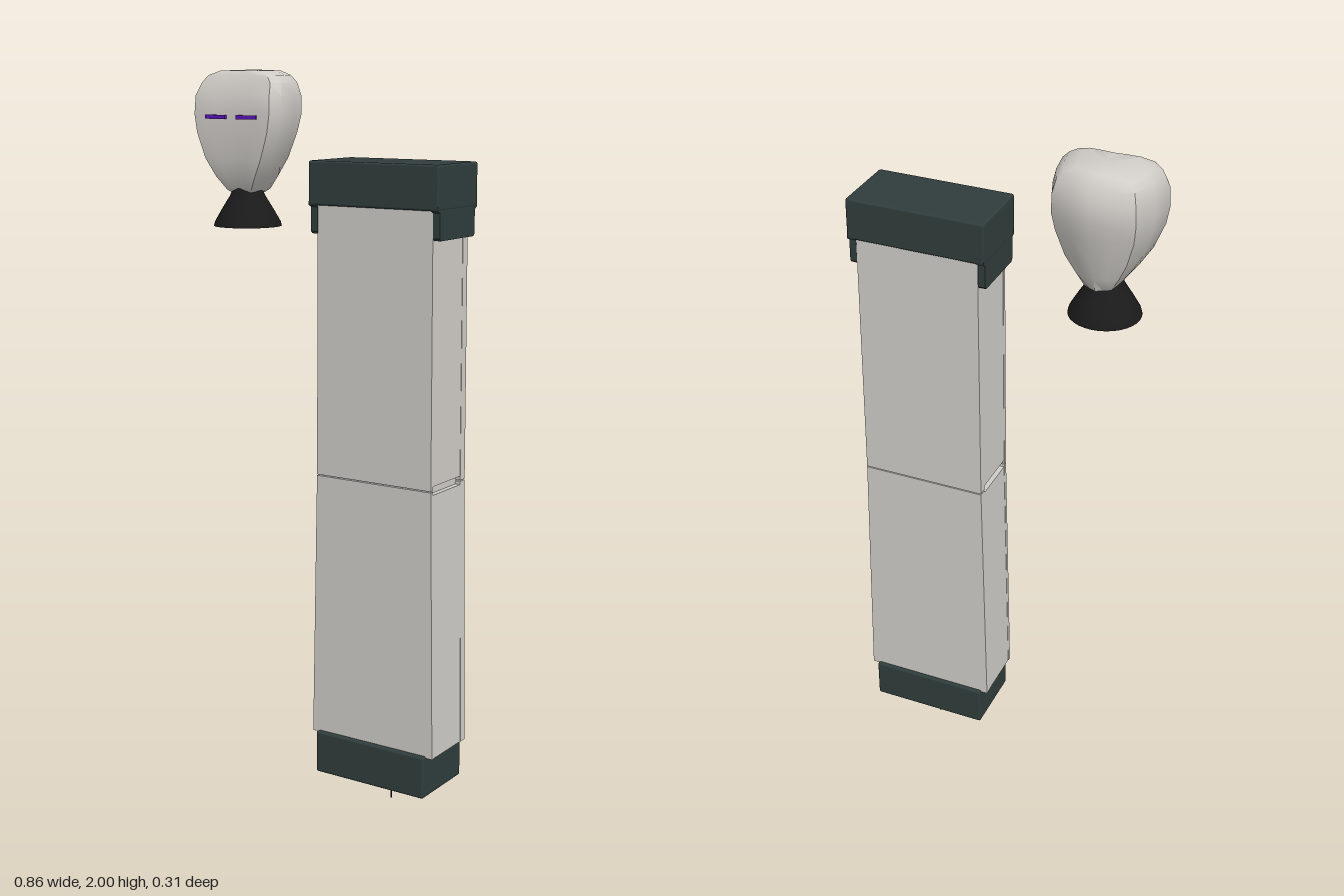
import * as THREE from 'three';
import { toCreasedNormals } from 'three/addons/utils/BufferGeometryUtils.js';
import { RoundedBoxGeometry } from 'three/addons/geometries/RoundedBoxGeometry.js';

const mat = (name, color) => {
  const m = new THREE.MeshStandardMaterial({ color });
  m.name = name;
  return m;
};

export function createModel() {
  const ivory = mat('ivory', 0xd0cdc8);
  const slate = mat('slate', 0x2f3d3c);
  const black = mat('black', 0x1b1b1b);
  const purple = mat('purple', 0x5a12b8);

  const root = new THREE.Group();
  const add = (parent, name, geo, material, x = 0, y = 0, z = 0) => {
    const m = new THREE.Mesh(geo, material);
    m.name = name;
    m.position.set(x, y, z);
    parent.add(m);
    return m;
  };

  // Tapered column with end caps
  const column = new THREE.Group();
  column.name = 'column';
  column.position.set(0.23, 0, 0);
  root.add(column);

  const slab = (name, y0, y1, w0, w1, z0, z1) => {
    const s = new THREE.Shape([[-w0, y0], [w0, y0], [w1, y1], [-w1, y1]].map(p => new THREE.Vector2(...p)));
    add(column, name, new THREE.ExtrudeGeometry(s, { depth: z1 - z0, bevelEnabled: false }), ivory, 0, 0, z0);
  };
  slab('lowerBody', 0.195, 0.92, 0.191, 0.177, -0.03, 0.135);
  slab('upperBody', 0.943, 1.66, 0.177, 0.173, -0.03, 0.135);
  slab('core', 0.915, 0.95, 0.163, 0.163, -0.027, 0.132);
  // Front and back panels meet at a fine seam
  for (const [side, z0, z1] of [['front', 0.13, 0.142], ['back', -0.036, -0.012]]) {
    slab(side + 'LowerPanel', 0.195, 0.929, 0.192, 0.178, z0, z1);
    slab(side + 'UpperPanel', 0.932, 1.66, 0.178, 0.174, z0, z1);
  }

  add(column, 'topCap', new RoundedBoxGeometry(0.392, 0.115, 0.202, 2, 0.006), slate, 0, 1.7125, 0.054);
  // Side flaps under the cap, narrowing downwards
  const flap = new THREE.Shape([[-0.1, 0.085], [-0.1, 0.075], [-0.089, 0.07], [-0.089, 0.006], [-0.083, 0],
    [0.083, 0], [0.089, 0.006], [0.089, 0.07], [0.1, 0.075], [0.1, 0.085]].map(p => new THREE.Vector2(...p)));
  const flapGeo = new THREE.ExtrudeGeometry(flap, { depth: 0.02, bevelEnabled: false });
  flapGeo.translate(0, 0, -0.01).rotateY(Math.PI / 2);
  for (const s of [-1, 1]) add(column, s > 0 ? 'leftFlap' : 'rightFlap', flapGeo, slate, s * 0.185, 1.58, 0.054);

  add(column, 'bottomCap', new RoundedBoxGeometry(0.346, 0.118, 0.204, 2, 0.006), slate, 0, 0.141, 0.055);
  add(column, 'bottomPlate', new THREE.BoxGeometry(0.086, 0.02, 0.092), slate, 0, 0.077, 0.055);
  add(column, 'pin', new THREE.CylinderGeometry(0.0018, 0.0018, 0.07, 6), black, 0, 0.035, 0.035);

  // Mask-like head
  const head = new THREE.Group();
  head.name = 'head';
  head.position.set(-0.285, 0, 0);
  root.add(head);

  // Half outline from the front centre to the back point: x as part of width, z as part of depth
  const half = [[0, 0.98], [0.45, 1], [0.88, 1], [1, 0.85], [0.92, 0.48], [0.75, 0.16], [0.38, 0.07], [0, 0]];
  const outline = [...half, ...half.slice(1, -1).reverse().map(([x, z]) => [-x, z])];
  // Height, half width, front z, back z
  const rings = [
    [1.664, 0.035, 0.015, -0.07], [1.674, 0.047, 0.028, -0.092], [1.71, 0.075, 0.045, -0.105],
    [1.76, 0.107, 0.056, -0.125], [1.83, 0.135, 0.06, -0.143], [1.88, 0.144, 0.06, -0.156],
    [1.93, 0.142, 0.056, -0.157], [1.965, 0.132, 0.038, -0.143], [1.985, 0.112, 0.03, -0.131],
    [1.997, 0.075, 0.018, -0.118]];
  const pos = [], idx = [], n = outline.length;
  for (const [y, w, zf, zb] of rings)
    for (const [x, z] of outline) pos.push(x * w, y, zb + z * (zf - zb));
  for (let i = 0; i < rings.length - 1; i++)
    for (let j = 0; j < n; j++) {
      const a = i * n + j, b = i * n + (j + 1) % n;
      idx.push(a, b, a + n, b, b + n, a + n);
    }
  // Close the chin and crown
  const low = pos.length / 3, top = low + 1, last = (rings.length - 1) * n;
  pos.push(0, 1.664, -0.025, 0, 2, -0.05);
  for (let j = 0; j < n; j++) {
    const k = (j + 1) % n;
    idx.push(low, k, j, top, last + j, last + k);
  }
  const skull = new THREE.BufferGeometry();
  skull.setAttribute('position', new THREE.Float32BufferAttribute(pos, 3));
  skull.setIndex(idx);
  add(head, 'skull', toCreasedNormals(skull, 0.75), ivory);

  // Narrow eye slits
  for (const s of [-1, 1])
    add(head, s > 0 ? 'leftEye' : 'rightEye', new THREE.BoxGeometry(0.067, 0.011, 0.009), purple, s * 0.052, 1.873, 0.061);

  // Flared neck
  const neckProfile = [[0, 0], [0.095, 0], [0.092, 0.012], [0.07, 0.05], [0.05, 0.082], [0.04, 0.105], [0, 0.105]]
    .map(p => new THREE.Vector2(...p));
  add(head, 'neck', toCreasedNormals(new THREE.LatheGeometry(neckProfile, 32), 0.7), black, 0, 1.573, -0.012);

  return root;
}
